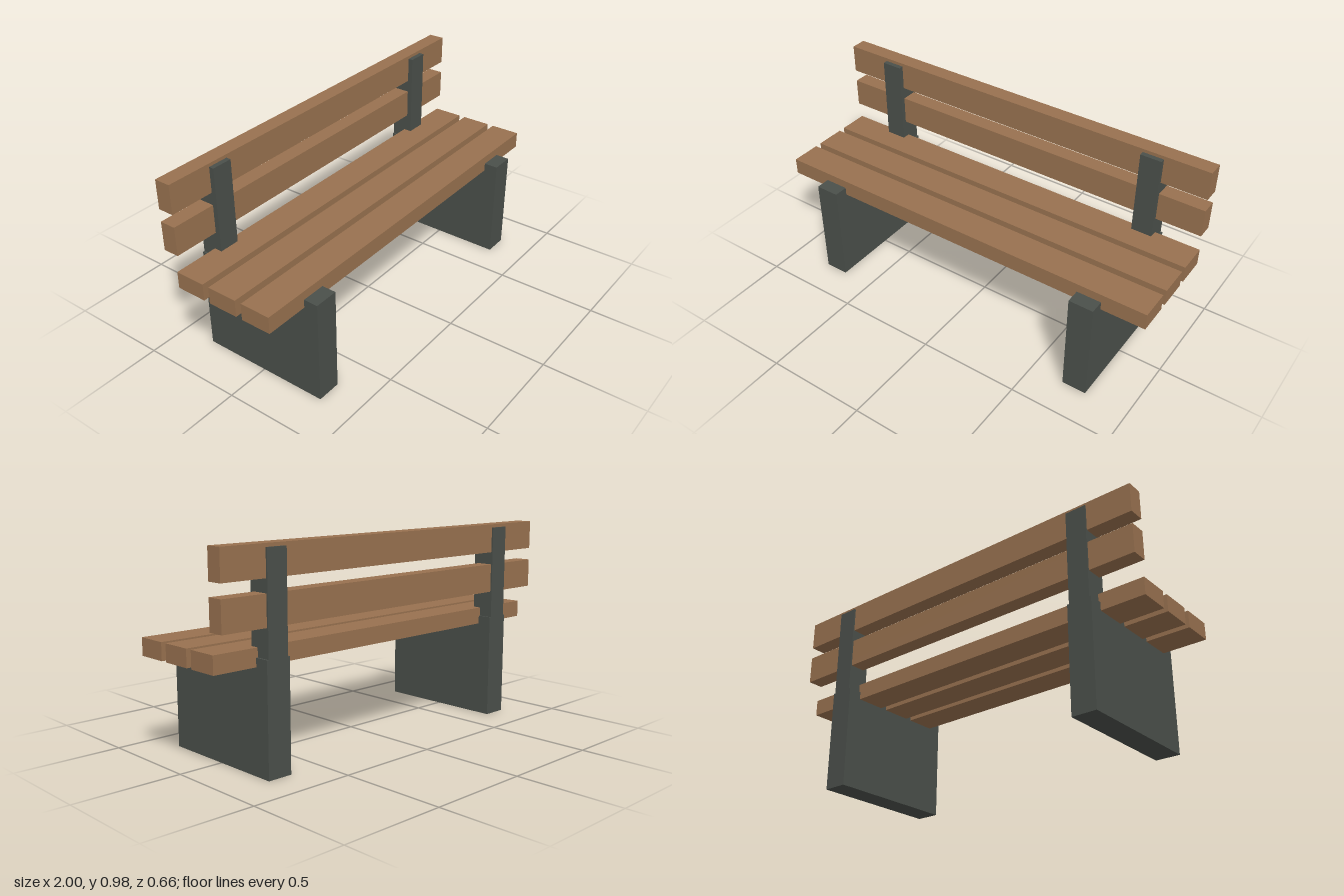
import * as THREE from 'three';

export function createModel() {
  const bench = new THREE.Group();
  bench.name = 'bench';

  const wood = new THREE.MeshStandardMaterial({ color: 0x98714f });
  wood.name = 'brown wood';
  const iron = new THREE.MeshStandardMaterial({ color: 0x4a4f4a });
  iron.name = 'dark grey';

  // Box given by its width, centre x, and its y and z ranges
  function addBox(name, material, width, x, [y0, y1], [z0, z1]) {
    const mesh = new THREE.Mesh(new THREE.BoxGeometry(width, y1 - y0, z1 - z0), material);
    mesh.position.set(x, (y0 + y1) / 2, (z0 + z1) / 2);
    mesh.name = name;
    bench.add(mesh);
  }

  // Slab legs with a narrower back post on each
  for (const [side, sign] of [['left', 1], ['right', -1]]) {
    addBox(side + 'Leg', iron, 0.12, sign * 0.726, [0, 0.51], [-0.328, 0.328]);
    addBox(side + 'BackPost', iron, 0.102, sign * 0.726, [0.51, 0.965], [-0.328, -0.218]);
  }

  // Three seat slats, let into the leg tops
  [0.183, 0, -0.183].forEach((z, i) => {
    addBox('seatSlat' + (i + 1), wood, 2, 0, [0.47, 0.552], [z - 0.075, z + 0.075]);
  });

  // Two backrest slats, let into the posts
  [0.64, 0.841].forEach((y, i) => {
    addBox('backSlat' + (i + 1), wood, 2, 0, [y, y + 0.14], [-0.32, -0.242]);
  });

  return bench;
}
